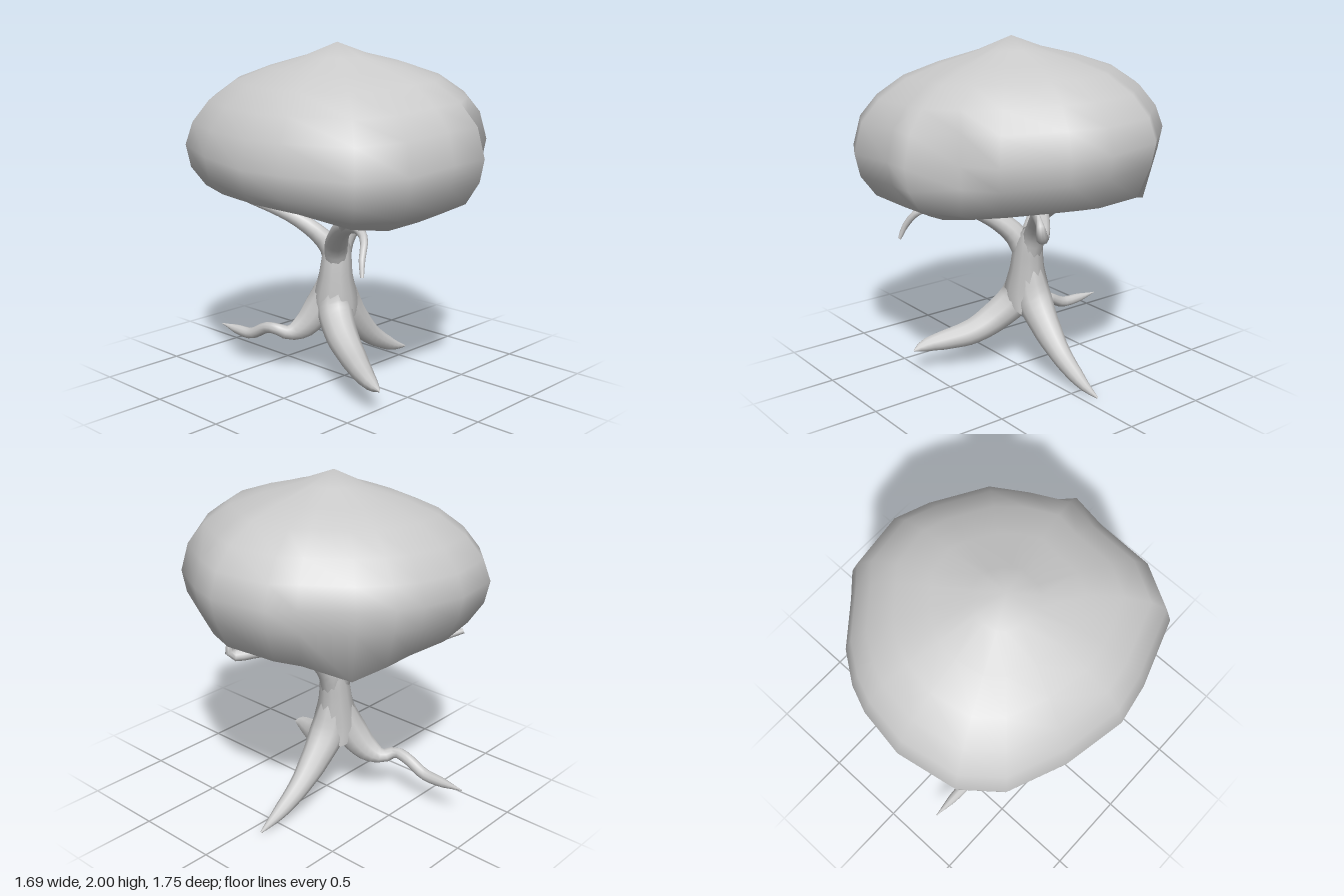
import * as THREE from 'three';
import { mergeVertices } from 'three/addons/utils/BufferGeometryUtils.js';

const material = new THREE.MeshStandardMaterial({ color: 0xcccccc });

// Tapered limb swept through points [x, y, z, radius]
function limb(name, points, sides = 10) {
  const path = new THREE.CatmullRomCurve3(points.map(([x, y, z]) => new THREE.Vector3(x, y, z)), false, 'centripetal');
  const taper = new THREE.CatmullRomCurve3(points.map((p, i) => new THREE.Vector3(p[3], i, 0)), false, 'catmullrom', 0.3);
  const steps = (points.length - 1) * 3;
  const geometry = new THREE.TubeGeometry(path, steps, 1, sides);
  const position = geometry.attributes.position;
  const v = new THREE.Vector3();
  for (let i = 0; i <= steps; i++) {
    const u = i / steps;
    const centre = path.getPointAt(u);
    const radius = taper.getPoint(path.getUtoTmapping(u)).x;
    for (let j = 0; j <= sides; j++) {
      const k = i * (sides + 1) + j;
      v.fromBufferAttribute(position, k).sub(centre).multiplyScalar(radius).add(centre);
      position.setXYZ(k, v.x, Math.max(0, v.y), v.z);
    }
  }
  const mesh = new THREE.Mesh(geometry, material);
  mesh.name = name;
  return mesh;
}

// Smooth bump of height 1 around (cx, cz)
const bump = (x, z, cx, cz, wx, wz) => Math.exp(-(((x - cx) / wx) ** 2) - ((z - cz) / wz) ** 2);

// Leaf crown: a lathe profile stretched to an irregular plan outline
function crown() {
  const outline = [
    [-0.05, 0.84], [0.17, 0.87], [0.36, 0.66], [0.59, 0.57], [0.77, 0.25], [0.845, 0.04], [0.8, -0.31],
    [0.69, -0.43], [0.5, -0.66], [0.33, -0.78], [0.18, -0.84], [-0.1, -0.88], [-0.45, -0.81], [-0.65, -0.64],
    [-0.78, -0.31], [-0.845, 0.06], [-0.8, 0.3], [-0.66, 0.7], [-0.4, 0.84],
  ];
  const notch = 2;
  // [share of the outline, height], from the underside up to the peak
  const profile = [
    [0, 1.18], [0.25, 1.17], [0.5, 1.145], [0.7, 1.13], [0.88, 1.18], [0.97, 1.3], [1, 1.43],
    [0.95, 1.575], [0.84, 1.695], [0.67, 1.8], [0.45, 1.87], [0.2, 1.93], [0, 2],
  ];
  const geometry = new THREE.LatheGeometry(profile.map(([r, y]) => new THREE.Vector2(r, y)), outline.length);
  const position = geometry.attributes.position;
  for (let i = 0; i <= outline.length; i++) {
    const index = i % outline.length;
    const [ox, oz] = outline[index];
    profile.forEach(([share, height], j) => {
      // the notch only cuts into the widest rings
      const reach = index === notch && share < 0.9 ? share * 1.12 : share;
      const x = ox * reach - (height > 1.43 ? 0.06 * (1 - share) : 0);
      const z = oz * reach;
      let y = height;
      if (height > 1.43) y += (0.055 * ox - 0.01 * oz) * share;
      else if (height < 1.2) {
        // two lobes hang below the hollow underside
        y -= 0.09 * bump(x, z, -0.2, 0.55, 0.5, 0.28) + 0.12 * bump(x, z, 0.46, -0.58, 0.22, 0.22);
      } else y += 0.06 * ox - 0.04 * oz;
      position.setXYZ(i * profile.length + j, x, y, z);
    });
  }
  geometry.deleteAttribute('normal');
  geometry.deleteAttribute('uv');
  const smooth = mergeVertices(geometry, 1e-4);
  smooth.computeVertexNormals();
  const mesh = new THREE.Mesh(smooth, material);
  mesh.name = 'crown';
  return mesh;
}

export function createModel() {
  const tree = new THREE.Group();
  tree.name = 'tree';

  // Trunk
  tree.add(limb('trunk', [
    [0, 0.31, -0.07, 0.02], [0, 0.37, -0.07, 0.115], [-0.005, 0.48, -0.07, 0.135],
    [0, 0.65, -0.07, 0.1], [0.01, 0.78, -0.07, 0.085], [0.01, 0.86, -0.07, 0.05], [0.01, 0.88, -0.07, 0.004],
  ], 12));

  // Three spreading roots
  const roots = new THREE.Group();
  roots.name = 'roots';
  roots.add(
    limb('leftRoot', [
      [0.01, 0.62, -0.07, 0.085], [0.07, 0.44, -0.07, 0.105], [0.19, 0.285, -0.07, 0.085],
      [0.32, 0.165, -0.07, 0.063], [0.45, 0.085, -0.07, 0.047], [0.55, 0.038, -0.07, 0.028], [0.645, 0.008, -0.075, 0.005],
    ]),
    limb('frontRoot', [
      [-0.01, 0.6, -0.06, 0.085], [-0.05, 0.43, -0.03, 0.105], [-0.11, 0.31, 0.08, 0.096],
      [-0.165, 0.225, 0.22, 0.08], [-0.235, 0.185, 0.36, 0.063], [-0.28, 0.165, 0.46, 0.045], [-0.3, 0.145, 0.54, 0.018],
      [-0.3, 0.14, 0.555, 0.004],
    ]),
    limb('backRoot', [
      [-0.01, 0.6, -0.09, 0.08], [-0.06, 0.42, -0.15, 0.095], [-0.12, 0.3, -0.22, 0.075], [-0.18, 0.25, -0.29, 0.045],
      [-0.235, 0.275, -0.35, 0.034], [-0.24, 0.265, -0.43, 0.034], [-0.25, 0.2, -0.56, 0.034],
      [-0.25, 0.195, -0.68, 0.03], [-0.25, 0.2, -0.84, 0.003],
    ]),
  );
  tree.add(roots);

  // Branches with their forks and twigs
  const branches = new THREE.Group();
  branches.name = 'branches';
  branches.add(
    limb('leftBranch', [
      [0.02, 0.7, -0.07, 0.07], [0.07, 0.84, -0.07, 0.065], [0.15, 0.95, -0.03, 0.055], [0.27, 1.03, 0.05, 0.05],
      [0.42, 1.01, 0.15, 0.038], [0.52, 0.995, 0.24, 0.034], [0.535, 1.05, 0.26, 0.026], [0.46, 1.1, 0.22, 0.012],
    ]),
    limb('leftFork', [[0.2, 0.99, 0, 0.04], [0.33, 1.08, 0.02, 0.035], [0.5, 1.15, 0.05, 0.012]]),
    limb('frontBranch', [
      [0, 0.68, -0.07, 0.07], [-0.05, 0.82, -0.02, 0.068], [-0.13, 0.93, 0.09, 0.058], [-0.22, 1.005, 0.24, 0.045],
      [-0.28, 1.02, 0.37, 0.03], [-0.34, 0.985, 0.47, 0.022], [-0.41, 0.89, 0.52, 0.018], [-0.435, 0.81, 0.545, 0.01],
    ]),
    limb('frontFork', [[-0.19, 0.98, 0.19, 0.04], [-0.29, 1.05, 0.28, 0.032], [-0.38, 1.11, 0.36, 0.012]]),
    limb('backBranch', [
      [0, 0.68, -0.07, 0.07], [-0.02, 0.8, -0.11, 0.062], [-0.08, 0.9, -0.2, 0.05], [-0.15, 0.98, -0.34, 0.04],
      [-0.25, 1.05, -0.52, 0.03], [-0.38, 1.13, -0.7, 0.015],
    ]),
    limb('backFork', [[-0.06, 0.87, -0.17, 0.045], [-0.07, 0.96, -0.3, 0.04], [-0.04, 1.04, -0.4, 0.032], [0.07, 1.13, -0.49, 0.012]]),
  );
  tree.add(branches);

  tree.add(crown());
  return tree;
}
